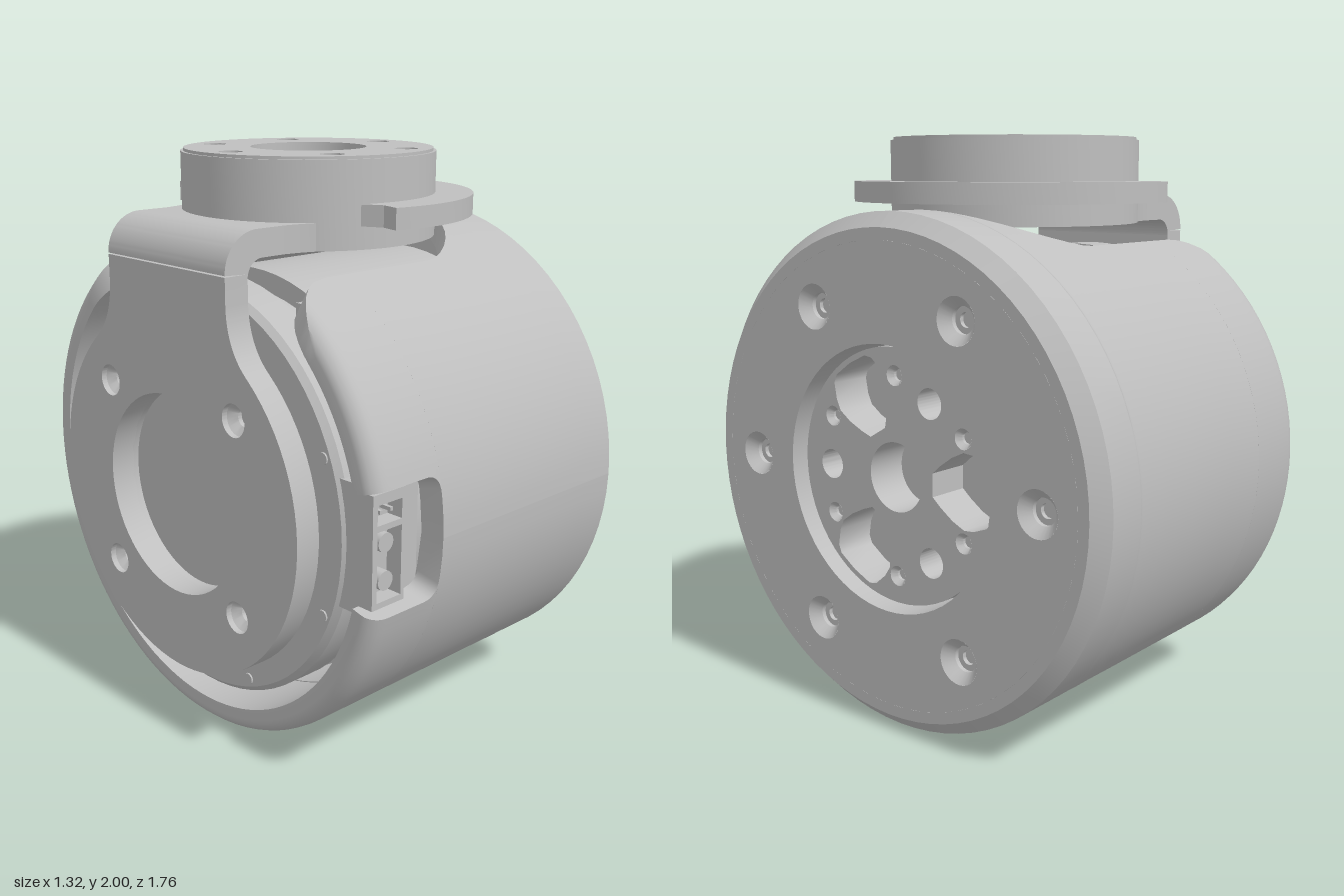
import * as THREE from 'three';
import { toCreasedNormals } from 'three/addons/utils/BufferGeometryUtils.js';

const CY = 0.88; // height of the drum axis
const FX = -0.03; // x of the flange axis
const metal = new THREE.MeshStandardMaterial({ color: 0xbfbfbf, side: THREE.DoubleSide });
metal.name = 'grey metal';

export function createModel() {
  const model = new THREE.Group();
  model.name = 'jointActuator';

  const add = (name, geo, x = 0, y = 0, z = 0) => {
    const mesh = new THREE.Mesh(toCreasedNormals(geo, 0.6), metal);
    mesh.name = name;
    mesh.position.set(x, y, z);
    model.add(mesh);
    return mesh;
  };
  const disc = (r, x = 0, y = 0) => new THREE.Shape().absarc(x, y, r, 0, Math.PI * 2);
  const extrude = (shape, depth, curveSegments = 32) =>
    new THREE.ExtrudeGeometry(shape, { depth, bevelEnabled: false, curveSegments });
  // shape x runs along -z, shape y is up, depth runs along +x
  const alongX = (shape, depth, seg) => extrude(shape, depth, seg).rotateY(Math.PI / 2);
  // depth runs up
  const alongY = (shape, depth, seg) => extrude(shape, depth, seg).rotateX(-Math.PI / 2);
  // profile of [radius, x] turned around the x axis
  const turnX = (pts, seg = 72) =>
    new THREE.LatheGeometry(pts.map(p => new THREE.Vector2(...p)), seg).rotateZ(-Math.PI / 2);
  const ringPoints = (n, r, start = 0) => Array.from({ length: n }, (_, i) => {
    const a = start + (i * 2 * Math.PI) / n;
    return [r * Math.cos(a), r * Math.sin(a)];
  });

  // ---- Shell: thick cross-section loops with a top notch and a front slot ----
  const R = 0.88, RI = 0.79;
  const outer = x => {
    if (x < -0.5) return 0.83 + 0.05 * Math.sqrt(1 - ((x + 0.5) / 0.06) ** 2 + 1e-9);
    return x > 0.605 ? R - (x - 0.605) : R;
  };
  const notch = x => {
    let w = 0;
    if (x < -0.36) w = 0.64 - Math.sqrt(Math.max(0, 0.04 - (x + 0.36) ** 2));
    else if (x < 0.46) w = Math.min(0.44, Math.sqrt(0.46 ** 2 - Math.max(0, x) ** 2));
    return Math.asin(w / R);
  };
  const slot = x => {
    if (x > -0.28) return 0;
    const f = Math.max(0, x + 0.33);
    return Math.asin((0.155 + Math.sqrt(Math.max(0, 0.0025 - f * f))) / R);
  };
  const stations = [-0.56, -0.558, -0.55, -0.535, -0.52, -0.5, -0.46, -0.42, -0.36, -0.33, -0.31,
    -0.295, -0.285, -0.28, -0.2799, -0.1, 0, 0.11, 0.15, 0.2, 0.25, 0.3, 0.34, 0.38, 0.41, 0.43,
    0.445, 0.455, 0.46, 0.605, 0.655];

  function shell(from, to, n) {
    const pos = [], idx = [], m = 2 * (n + 1), last = stations.length - 1;
    for (const x of stations) {
      const a = from(x), b = to(x);
      for (let k = 0; k < m; k++) {
        const j = k <= n ? k : m - 1 - k;
        const r = k <= n ? outer(x) : RI, t = a + ((b - a) * j) / n;
        pos.push(x, r * Math.cos(t), r * Math.sin(t));
      }
    }
    const quad = (a, b, c, d) => idx.push(a, b, c, a, c, d);
    for (let i = 0; i < last; i++) {
      for (let k = 0; k < m; k++) {
        const k2 = (k + 1) % m;
        quad(i * m + k, i * m + k2, (i + 1) * m + k2, (i + 1) * m + k);
      }
    }
    for (let j = 0; j < n; j++) {
      const e = last * m;
      quad(m - 1 - j, m - 2 - j, j + 1, j);
      quad(e + j, e + j + 1, e + m - 2 - j, e + m - 1 - j);
    }
    const geo = new THREE.BufferGeometry();
    geo.setAttribute('position', new THREE.Float32BufferAttribute(pos, 3));
    geo.setIndex(idx);
    return geo;
  }
  add('shellFrontUpper', shell(notch, x => Math.PI / 2 - slot(x), 20), 0, CY);
  add('shellMain', shell(x => Math.PI / 2 + slot(x), x => 2 * Math.PI - notch(x), 60), 0, CY);

  // ---- Motor core inside the shell ----
  add('motorCore', turnX([[0, -0.55], [0.71, -0.55], [0.73, -0.53], [0.73, -0.41], [0.66, -0.41],
    [0.66, -0.29], [0.73, -0.29], [0.73, 0.45], [0, 0.45]]), 0, CY);
  for (const [s, y] of ringPoints(8, 0.68, Math.PI / 8)) {
    add('coverScrew', turnX([[0, -0.556], [0.02, -0.556], [0.02, -0.54]], 12), 0, CY + y, -s);
  }
  for (const side of [-1, 1]) {
    add('corePost', new THREE.BoxGeometry(0.06, 0.16, 0.08), -0.36, 1.47, side * 0.37);
  }

  // ---- Face plate with countersunk screws ----
  const face = disc(RI);
  face.holes.push(disc(0.455));
  for (const [s, y] of ringPoints(6, 0.64)) {
    face.holes.push(disc(0.078, s, y));
    add('faceScrew', turnX([[0, 0.59], [0.025, 0.59], [0.025, 0.605], [0.045, 0.605],
      [0.045, 0.62], [0.078, 0.655]], 24), 0, CY + y, -s);
  }
  add('facePlate', alongX(face, 0.205), 0.45, CY);

  // ---- Output hub: centre bore, lobes, dowel holes and screws ----
  const hub = disc(0.44);
  hub.holes.push(disc(0.12));
  const lobe = [[0.165, 0.04], [0.2, 0.07], [0.25, 0.105], [0.3, 0.128], [0.34, 0.125], [0.395, 0.105],
    [0.415, 0.08], [0.422, 0]];
  const lobeLoop = [...lobe, ...lobe.slice(0, -1).reverse().map(([u, v]) => [u, -v])];
  for (let i = 0; i < 3; i++) {
    const a = (i * 2 * Math.PI) / 3, c = Math.cos(a), s = Math.sin(a);
    hub.holes.push(new THREE.Shape(lobeLoop.map(([u, v]) => new THREE.Vector2(u * c - v * s, u * s + v * c))));
    hub.holes.push(disc(0.052, -0.31 * c, -0.31 * s));
  }
  for (const [s, y] of ringPoints(6, 0.345, Math.PI / 6)) {
    hub.holes.push(disc(0.035, s, y));
    add('hubScrew', turnX([[0, 0.57], [0.02, 0.57], [0.02, 0.58], [0.035, 0.6]], 16), 0, CY + y, -s);
  }
  add('outputHub', alongX(hub, 0.15), 0.45, CY);

  // ---- Arm: round side plate with a stem, then a bend towards the flange ----
  const plate = new THREE.Shape();
  const join = 0.87;
  plate.moveTo(0.31, 0.78);
  plate.lineTo(-0.31, 0.78);
  plate.lineTo(-0.31, 0.7);
  plate.quadraticCurveTo(-0.31, 0.56, -0.63 * Math.cos(join), 0.63 * Math.sin(join));
  plate.absarc(0, 0, 0.63, Math.PI - join, 2 * Math.PI + join, false);
  plate.quadraticCurveTo(0.31, 0.56, 0.31, 0.7);
  plate.holes.push(disc(0.35));
  for (const [s, y] of ringPoints(4, 0.475, Math.PI / 4)) {
    plate.holes.push(disc(0.055, s, y));
    add('armScrew', turnX([[0, -0.6], [0.03, -0.6], [0.03, -0.615], [0.055, -0.64]], 20), 0, CY + y, -s);
  }
  add('armPlate', alongX(plate, 0.09), -0.66, CY);
  const spacer = disc(0.56);
  spacer.holes.push(disc(0.35));
  add('armSpacer', alongX(spacer, 0.03), -0.575, CY);

  const bend = new THREE.Shape();
  bend.moveTo(-0.66, 1.66);
  bend.absarc(-0.53, 1.665, 0.13, Math.PI, Math.PI / 2, true);
  bend.lineTo(-0.3, 1.795);
  bend.lineTo(-0.3, 1.705);
  bend.absarc(-0.51, 1.645, 0.06, Math.PI / 2, Math.PI, false);
  bend.lineTo(-0.57, 1.66);
  add('armBend', extrude(bend, 0.62, 12), 0, 0, -0.31);

  // webs that blend the arm into the flange
  for (const side of [-1, 1]) {
    const web = new THREE.Shape();
    web.moveTo(-0.46, side * 0.29);
    web.lineTo(-0.42, side * 0.31);
    web.quadraticCurveTo(-0.3, side * 0.325, -0.2, side * 0.405);
    web.lineTo(-0.2, side * 0.29);
    add('armWeb', alongY(web, 0.09), 0, 1.705);
  }

  // ---- Flange with bore and bolt holes ----
  const flange = disc(0.43);
  const rim = disc(0.44);
  for (const s of [flange, rim]) {
    s.holes.push(disc(0.2));
    for (const [x, y] of ringPoints(6, 0.345)) s.holes.push(disc(0.04, x, y));
  }
  add('flange', alongY(rim, 0.285), FX, 1.705);
  add('flangeTop', alongY(flange, 0.01), FX, 1.99);

  // partial collar around the flange
  const collar = new THREE.Shape();
  const end = 1.82;
  collar.absarc(0, 0, 0.57, -end, end, false);
  collar.lineTo(-0.12, 0.48);
  collar.lineTo(-0.17, 0.43);
  collar.absarc(0, 0, 0.43, 1.95, -1.95, true);
  collar.lineTo(-0.12, -0.48);
  add('collar', alongY(collar, 0.07), FX, 1.78);

  // ---- Connectors in the front slot ----
  add('connectorBase', new THREE.BoxGeometry(0.26, 0.42, 0.1), -0.41, CY, 0.72);
  const rect = (x0, y0, x1, y1) => new THREE.Shape([[x0, y0], [x1, y0], [x1, y1], [x0, y1]]
    .map(p => new THREE.Vector2(...p)));
  const housing = rect(-0.54, 0.7, -0.4, 1.07);
  housing.holes.push(rect(-0.52, 0.97, -0.415, 1.035), rect(-0.52, 0.72, -0.415, 0.95));
  add('connectorHousing', extrude(housing, 0.06), 0, 0, 0.77);
  for (const y of [0.775, 0.9]) {
    add('powerPin', new THREE.CylinderGeometry(0.032, 0.032, 0.05, 20).rotateX(Math.PI / 2), -0.467, y, 0.79);
  }
  for (const x of [-0.49, -0.445]) {
    add('signalPin', new THREE.BoxGeometry(0.012, 0.012, 0.05), x, 1.003, 0.79);
  }
  return model;
}
